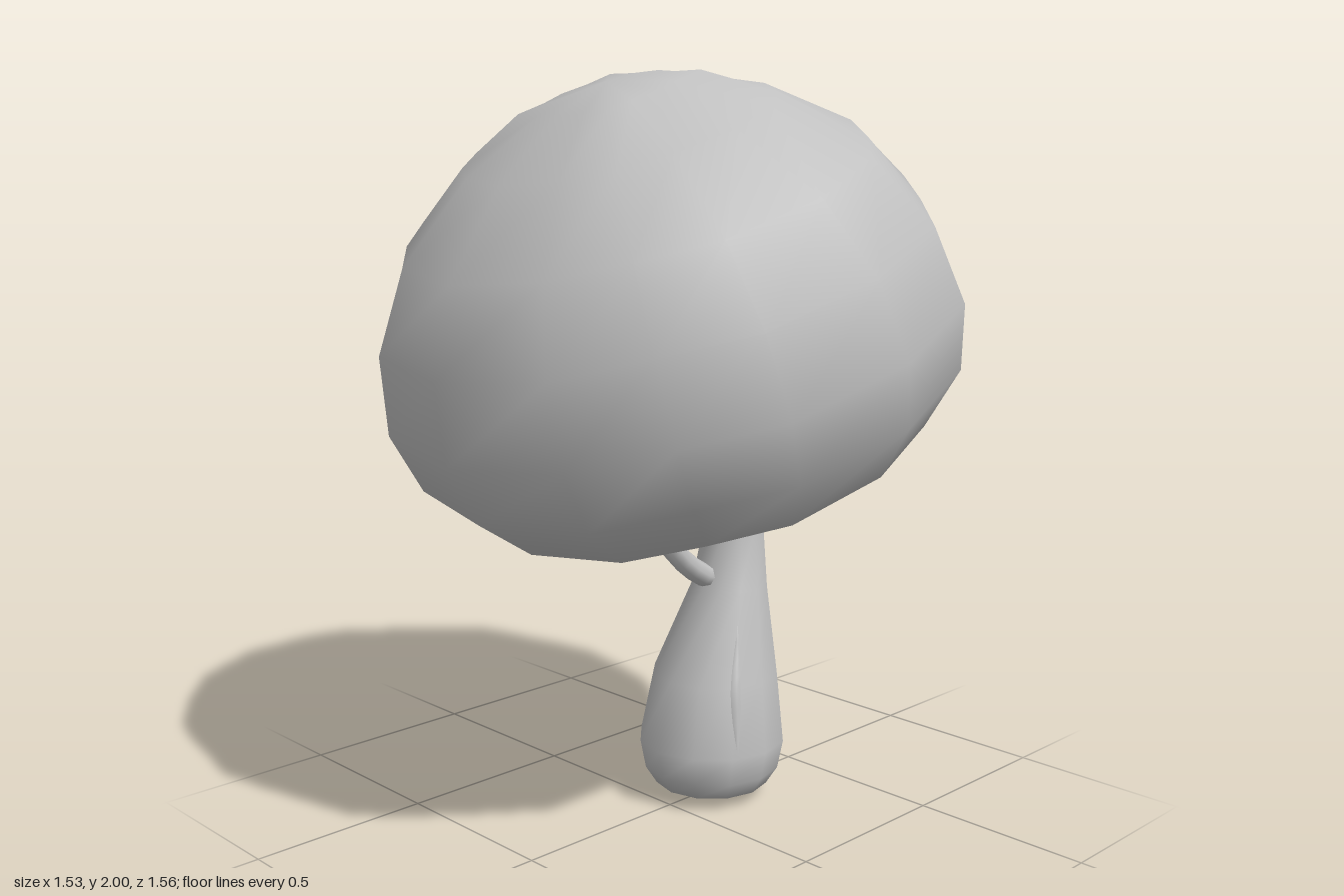
import * as THREE from 'three';
import { mergeVertices } from 'three/addons/utils/BufferGeometryUtils.js';

const grey = new THREE.MeshStandardMaterial({ color: 0xc0c0c0 });
grey.name = 'plain grey';

// Smooth skin over rows of [x, y, z] points, running from bottom to top.
function loft(rows, closed = true) {
  const n = rows[0].length;
  const index = [];
  for (let i = 0; i < rows.length - 1; i++) {
    for (let j = 0; j < (closed ? n : n - 1); j++) {
      const k = (j + 1) % n;
      const a = i * n + j, b = i * n + k, c = a + n, d = b + n;
      index.push(a, c, b, b, c, d);
    }
  }
  let g = new THREE.BufferGeometry();
  g.setAttribute('position', new THREE.Float32BufferAttribute(rows.flat(2), 3));
  g.setIndex(index);
  g = mergeVertices(g);
  g.computeVertexNormals();
  return g;
}

function part(name, geometry) {
  const m = new THREE.Mesh(geometry, grey);
  m.name = name;
  return m;
}

// Cap: rounded dome with a flat underside; [radius, height, diagonal factor]
const capProfile = [
  [0, -0.46, 1], [0.15, -0.46, 1.2], [0.397, -0.457, 1], [0.625, -0.394, 0.96],
  [0.743, -0.246, 0.95], [0.781, -0.072, 0.95], [0.741, 0.134, 0.95],
  [0.62, 0.325, 0.97], [0.405, 0.487, 1], [0.179, 0.584, 1.3], [0, 0.611, 1],
];
const capAngles = [0, 25.5, 45, 64.5];
function capGeometry() {
  return loft(capProfile.map(([r, y, diagonal]) => {
    const row = [];
    for (let q = 0; q < 4; q++) {
      capAngles.forEach((deg, i) => {
        const a = THREE.MathUtils.degToRad(deg + q * 90);
        const s = r * (i === 2 ? diagonal : 1);
        row.push([s * Math.cos(a), y, s * Math.sin(a)]);
      });
    }
    return row;
  }));
}

// Trunk sections: [y, centre x, radius x, radius z]
const trunkRings = [
  [0.005, 0.165, 0, 0], [0.04, 0.165, 0.16, 0.16], [0.09, 0.165, 0.192, 0.192],
  [0.17, 0.165, 0.207, 0.208], [0.36, 0.18, 0.178, 0.178], [0.6, 0.235, 0.11, 0.108],
  [0.78, 0.252, 0.088, 0.082], [1.03, 0.215, 0.057, 0.055],
];
function trunkPoint(y, a, lift = 0) {
  let i = 1;
  while (i < trunkRings.length - 1 && trunkRings[i][0] < y) i++;
  const p = trunkRings[i - 1], q = trunkRings[i];
  const t = (y - p[0]) / (q[0] - p[0]);
  const [cx, rx, rz] = [1, 2, 3].map((k) => p[k] + (q[k] - p[k]) * t);
  return [cx + (rx + lift) * Math.cos(a), y, (rz + lift) * Math.sin(a)];
}
function trunkGeometry() {
  return loft(trunkRings.map(([y, cx, rx, rz]) => {
    const row = [];
    for (let j = 0; j < 12; j++) {
      const a = (j / 12) * Math.PI * 2;
      row.push([cx + rx * Math.cos(a), y, rz * Math.sin(a)]);
    }
    return row;
  }));
}

// Bark sliver: slim pointed ridge lying on the trunk
function sliverGeometry(y0, y1, a0, a1, halfWidth) {
  const rows = [];
  for (let i = 0; i <= 8; i++) {
    const t = i / 8, swell = Math.sin(Math.PI * t);
    const y = y0 + (y1 - y0) * t, a = a0 + (a1 - a0) * t;
    rows.push([-1, 0, 1].map((s) =>
      trunkPoint(y, a + s * halfWidth * swell, s ? 0.001 : 0.001 + 0.009 * swell)));
  }
  return loft(rows, false);
}

// Branch: bent tube through a few points
function branchGeometry(points, radius) {
  const curve = new THREE.CatmullRomCurve3(points.map((p) => new THREE.Vector3(...p)));
  return new THREE.TubeGeometry(curve, 10, radius, 8, false);
}

export function createModel() {
  const tree = new THREE.Group();
  tree.name = 'tree';

  tree.add(part('trunk', trunkGeometry()));

  // Large leaning crown
  const crown = part('crown', capGeometry());
  crown.position.set(-0.021, 1.392, 0);
  crown.rotation.z = 0.332;
  tree.add(crown);

  // Small crown on the side branch
  const smallCrown = part('smallCrown', capGeometry());
  smallCrown.scale.set(0.24, 0.29, 0.235);
  smallCrown.position.set(0.475, 0.868, -0.267);
  smallCrown.rotation.set(0.15, 0, -0.32);
  tree.add(smallCrown);

  // Branches
  tree.add(part('rightBranch', branchGeometry(
    [[0.22, 0.62, 0], [0.13, 0.645, 0], [0.02, 0.73, 0], [-0.04, 0.83, 0], [-0.055, 0.96, 0]], 0.032)));
  tree.add(part('leftBranch', branchGeometry(
    [[0.26, 0.67, -0.04], [0.34, 0.685, -0.13], [0.41, 0.7, -0.21], [0.435, 0.74, -0.245], [0.45, 0.82, -0.26]], 0.034)));

  // Bark slivers
  tree.add(part('frontSliver', sliverGeometry(0.18, 0.52, 2.02, 2.1, 0.08)));
  tree.add(part('backSliver', sliverGeometry(0.2, 0.5, -1.0, -1.1, 0.08)));
  tree.add(part('sideSliver', sliverGeometry(0.66, 0.9, 0.35, 0.3, 0.1)));

  return tree;
}
